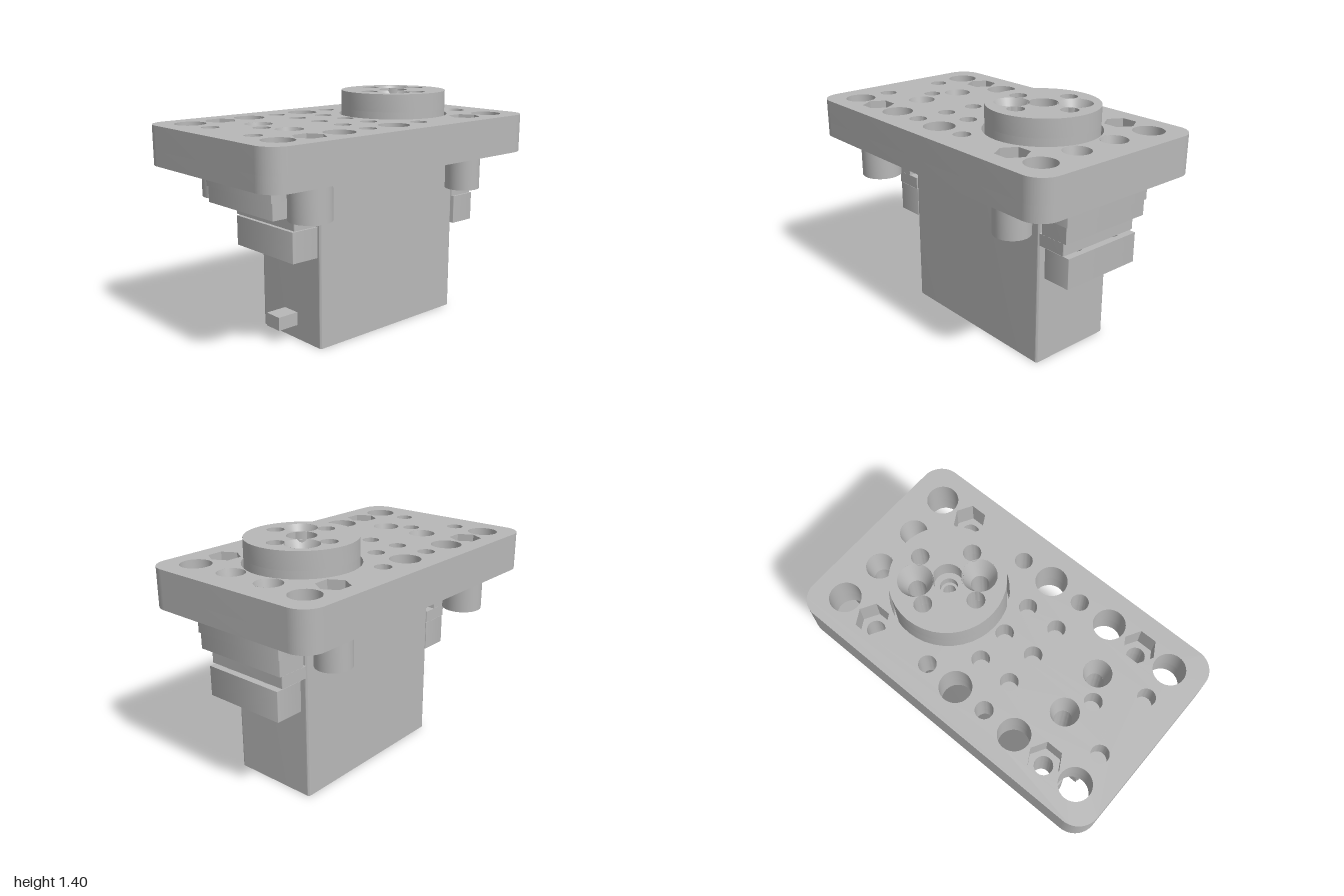
import * as THREE from 'three';
import { toCreasedNormals } from 'three/addons/utils/BufferGeometryUtils.js';

const grey = new THREE.MeshStandardMaterial({ color: 0xb8b8b8, side: THREE.DoubleSide });
grey.name = 'grey plastic';

// Outlines lie in the x/z plane
function roundRect(x0, x1, z0, z1, r) {
  const s = new THREE.Shape();
  s.moveTo(x0 + r, z0);
  s.lineTo(x1 - r, z0);
  s.absarc(x1 - r, z0 + r, r, -Math.PI / 2, 0);
  s.lineTo(x1, z1 - r);
  s.absarc(x1 - r, z1 - r, r, 0, Math.PI / 2);
  s.lineTo(x0 + r, z1);
  s.absarc(x0 + r, z1 - r, r, Math.PI / 2, Math.PI);
  s.lineTo(x0, z0 + r);
  s.absarc(x0 + r, z0 + r, r, Math.PI, Math.PI * 1.5);
  return s;
}

function disc(x, z, r) {
  return new THREE.Shape().absarc(x, z, r, 0, Math.PI * 2);
}

function circle([x, z], r) {
  return new THREE.Path().absarc(x, z, r, 0, Math.PI * 2, true);
}

function hexagon([x, z], r) {
  const points = [];
  for (let i = 0; i < 6; i++) {
    const a = -i * Math.PI / 3;
    points.push(new THREE.Vector2(x + r * Math.cos(a), z + r * Math.sin(a)));
  }
  return new THREE.Path(points);
}

export function createModel() {
  const model = new THREE.Group();
  model.name = 'servoMount';

  function add(name, geometry) {
    const mesh = new THREE.Mesh(geometry, grey);
    mesh.name = name;
    model.add(mesh);
    return mesh;
  }

  // Upright prism of an outline between two heights, with vertical holes
  function slab(name, shape, bottom, top, holes = []) {
    shape.holes.push(...holes);
    const g = new THREE.ExtrudeGeometry(shape, { depth: top - bottom, bevelEnabled: false, curveSegments: 20 });
    g.rotateX(Math.PI / 2);
    g.translate(0, top, 0);
    return add(name, toCreasedNormals(g, 0.6));
  }

  // Sloping wall of a countersunk hole
  function countersink(name, [x, z], rTop, rBottom, bottom, top) {
    const g = new THREE.CylinderGeometry(rTop, rBottom, top - bottom, 32, 1, true);
    add(name, g).position.set(x, (top + bottom) / 2, z);
  }

  const rows = [-0.405, 0.405];
  const at = (xs, zs) => xs.flatMap(x => zs.map(z => [x, z]));
  const big = at([-0.81, -0.405, 0, 0.81], rows);
  const small = at([-0.2, 0.2], rows);
  const nuts = at([-0.61, 0.605], rows);
  const screws = at([-0.53, 0.795], [-0.14, 0.14]);
  const blind = [...at([-0.81], [-0.2, 0.2]), [-0.61, 0], ...at([-0.2, 0], [-0.2, 0, 0.2])];
  const hornX = 0.4;

  // Mounting plate: upper layer with pockets, lower layer with through holes
  const through = [
    ...big.map(p => circle(p, 0.09)),
    ...small.map(p => circle(p, 0.05)),
    circle([hornX, 0], 0.335),
  ];
  slab('plateTop', roundRect(-1, 1, -0.59, 0.59, 0.125), 1.12, 1.26, [
    ...through,
    ...nuts.map(p => hexagon(p, 0.095)),
    ...screws.map(p => circle(p, 0.079)),
    ...blind.map(p => circle(p, 0.05)),
  ]);
  slab('plateBottom', roundRect(-1, 1, -0.59, 0.59, 0.125), 1.03, 1.12, [
    ...through,
    ...nuts.map(p => circle(p, 0.052)),
    ...screws.map(p => circle(p, 0.05)),
  ]);
  screws.forEach(p => countersink('screwCountersink', p, 0.079, 0.05, 1.12, 1.26));

  // Hollow posts under the nut pockets
  nuts.forEach(([x, z]) => {
    slab('post', disc(x, z, x < 0 ? 0.12 : 0.105), 0.82, 1.03, [circle([x, z], 0.052)]);
  });

  // Servo body, output boss and cable exit
  slab('servoBody', roundRect(-0.43, 0.67, -0.27, 0.27, 0.015), 0, 1);
  slab('outputBoss', disc(hornX, 0, 0.1), 1, 1.06);
  add('cableExit', new THREE.BoxGeometry(0.135, 0.08, 0.115)).position.set(-0.4975, 0.125, 0);

  // Ears, spacer pads and nut blocks at both ends of the body
  const ends = [
    { x: -0.53, ear: [-0.61, -0.43], pad: [-0.785, -0.45], step: [-0.775, -0.46], block: [-0.615, -0.44] },
    { x: 0.795, ear: [0.67, 0.85], pad: [0.71, 0.905], step: [0.72, 0.895], block: [0.705, 0.88] },
  ];
  for (const { x, ear, pad, step, block } of ends) {
    const pair = [[x, -0.14], [x, 0.14]];
    const bores = () => pair.map(p => circle(p, 0.05));
    slab('ear', roundRect(...ear, -0.27, 0.27, 0.005), 0.73, 0.8, bores());
    slab('padTop', roundRect(...pad, -0.305, 0.305, 0.002), 0.915, 1.03, bores());
    slab('padStep', roundRect(...step, -0.3, 0.3, 0.002), 0.82, 0.915, bores());
    slab('nutBlockTop', roundRect(...block, -0.26, 0.26, 0.002), 0.63, 0.722, bores());
    slab('nutBlockBottom', roundRect(...block, -0.26, 0.26, 0.002), 0.545, 0.63,
      pair.map(p => hexagon(p, 0.085)));
  }

  // Round servo horn with four pin holes and two countersunk screw holes
  const pins = [[0.2, 0], [0.6, 0], [0.4, -0.2], [0.4, 0.2]];
  const hornScrews = [[0.525, -0.122], [0.28, 0.122]];
  slab('hornTop', disc(hornX, 0, 0.32), 1.3, 1.405, [
    ...pins.map(p => circle(p, 0.05)),
    ...hornScrews.map(p => circle(p, 0.098)),
    circle([hornX, 0], 0.085),
  ]);
  slab('hornBottom', disc(hornX, 0, 0.32), 1.05, 1.3, [
    ...pins.map(p => circle(p, 0.05)),
    ...hornScrews.map(p => circle(p, 0.05)),
    circle([hornX, 0], 0.05),
  ]);
  hornScrews.forEach(p => countersink('hornCountersink', p, 0.098, 0.05, 1.3, 1.405));
  slab('outputShaft', disc(hornX, 0, 0.05), 1.06, 1.25, [circle([hornX, 0], 0.035)]);

  return model;
}
